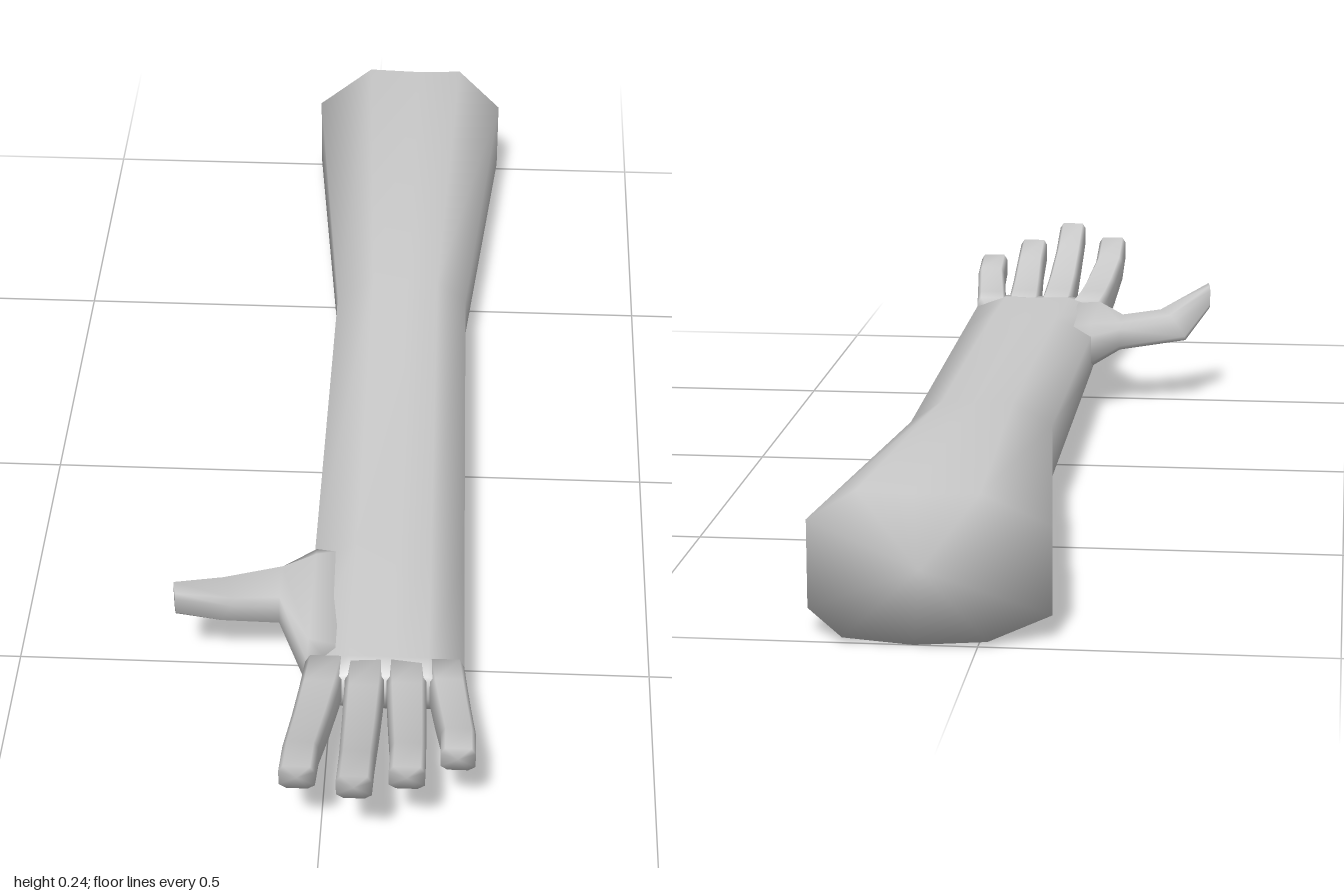
import * as THREE from 'three';

// Cross-sections as unit outlines, clockwise seen from the far end of the limb
const ARM = [[-1, -0.67], [-1, 0.5], [-0.45, 1], [0.1, 0.97], [0.55, 1], [1, 0.5],
  [1, -0.67], [0.68, -0.93], [0.1, -1], [-0.5, -0.93]];
const DIGIT = [[-1, -0.6], [-1, 0.6], [-0.75, 1], [0.75, 1], [1, 0.6], [1, -0.6], [0.6, -1], [-0.6, -1]];

// Skin a closed tube over rings of points, with smooth shading and both ends capped
function loft(name, rings, material) {
  const n = rings[0].length, pos = [], idx = [];
  for (const ring of rings) for (const p of ring) pos.push(...p);
  const centre = (ring) => [0, 1, 2].map((k) => ring.reduce((s, p) => s + p[k], 0) / n);
  const first = rings[0], last = rings[rings.length - 1];
  const c0 = centre(first);
  c0[2] = Math.min(c0[2], ...first.map((p) => p[2]));
  pos.push(...c0, ...centre(last));
  const s = rings.length * n, e = s + 1, base = (rings.length - 1) * n;
  for (let j = 0; j < n; j++) {
    const k = (j + 1) % n;
    for (let i = 0; i < rings.length - 1; i++) {
      const a = i * n + j, b = i * n + k;
      idx.push(a, a + n, b, b, a + n, b + n);
    }
    idx.push(s, j, k, e, base + k, base + j);
  }
  const geo = new THREE.BufferGeometry();
  geo.setAttribute('position', new THREE.Float32BufferAttribute(pos, 3));
  geo.setIndex(idx);
  geo.computeVertexNormals();
  const mesh = new THREE.Mesh(geo, material);
  mesh.name = name;
  return mesh;
}

// Ring inside the box x0..x1, y0..y1; its z may depend on the outline position
const boxRing = (outline, x0, x1, y0, y1, z) => outline.map(([u, v]) => [
  (x0 + x1) / 2 + u * (x1 - x0) / 2, (y0 + y1) / 2 + v * (y1 - y0) / 2, z(u, v)]);

export function createModel() {
  const group = new THREE.Group();
  group.name = 'arm';
  const skin = new THREE.MeshStandardMaterial({ color: 0xcccccc, side: THREE.DoubleSide });

  // Forearm and palm: x0, x1, y0, y1, z
  const armSections = [
    [-0.1, 0.245, 0, 0.22, -1],
    [-0.035, 0.192, 0.04, 0.185, -0.32],
    [-0.035, 0.203, 0.055, 0.17, 0.4],
    [-0.035, 0.207, 0.078, 0.158, 0.65],
    [-0.034, 0.207, 0.088, 0.154, 0.69],
  ];
  group.add(loft('forearmAndPalm', armSections.map(([x0, x1, y0, y1, z], i) =>
    boxRing(ARM, x0, x1, y0, y1, (u) => (i === 0 && Math.abs(u) === 1 ? -0.96 : z))), skin));

  // Fingers, curling upward: base x0, x1, tip x0, x1, tip height, tip z
  const fingers = {
    indexFinger: [-0.035, 0.027, -0.054, -0.002, 0.22, 0.962],
    middleFinger: [0.027, 0.088, 0.03, 0.081, 0.241, 1],
    ringFinger: [0.088, 0.15, 0.103, 0.155, 0.215, 0.95],
    littleFinger: [0.15, 0.207, 0.176, 0.227, 0.195, 0.887],
  };
  for (const [name, [a0, a1, b0, b1, top, tipZ]] of Object.entries(fingers)) {
    const rings = [0, 0.2, 0.45, 0.75, 1].map((t) => {
      const w = Math.min(1, t * 1.3);
      const z = THREE.MathUtils.lerp(0.65, tipZ, t);
      return boxRing(DIGIT,
        THREE.MathUtils.lerp(a0, b0, w), THREE.MathUtils.lerp(a1, b1, w),
        0.083 + (top - 0.05 - 0.083) * t ** 1.5,
        0.156 + (top - 0.156) * t ** 1.7,
        (u, v) => z + (t === 1 && v < 0 ? 0.008 * v : 0));
    });
    group.add(loft(name, rings, skin));
  }

  // Thumb, pointing out to the right: centre, half-width axis, half-height axis
  const thumbSections = [
    [[0.01, 0.115, 0.51], [0, 0, 0.15], [0, 0.04, 0]],
    [[-0.032, 0.117, 0.515], [0, 0, 0.135], [0, 0.042, 0]],
    [[-0.083, 0.13, 0.48], [0, 0, 0.05], [0, 0.026, 0]],
    [[-0.178, 0.14, 0.508], [0.014, 0, 0.033], [0.015, 0.024, 0]],
    [[-0.241, 0.186, 0.563], [0.003, 0, 0.018], [0, 0.021, 0]],
  ];
  group.add(loft('thumb', thumbSections.map(([c, w, h]) =>
    DIGIT.map(([u, v]) => c.map((q, k) => q + u * w[k] + v * h[k]))), skin));

  return group;
}
